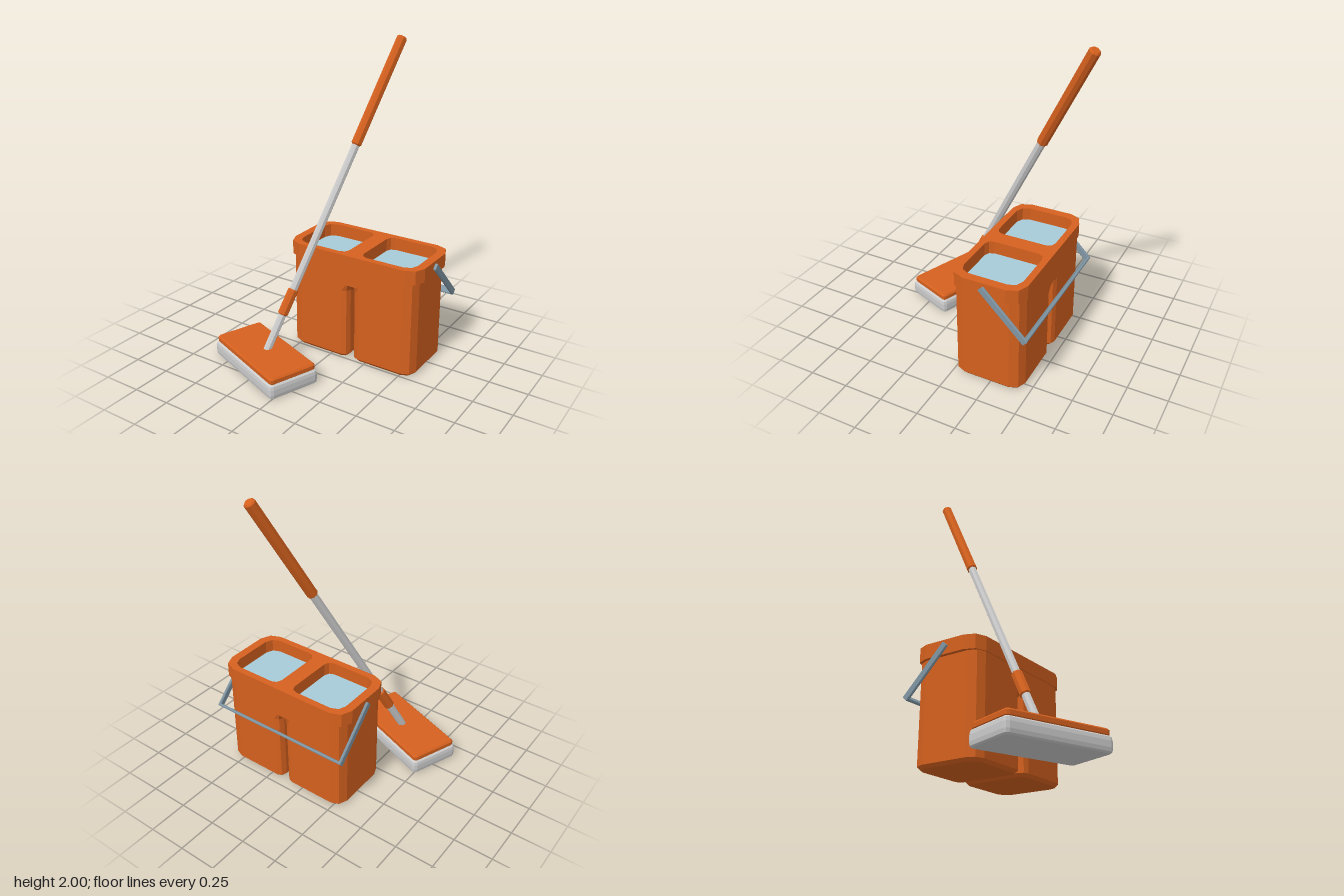
import * as THREE from 'three';

const mat = (color) => new THREE.MeshStandardMaterial({ color, flatShading: true });
const orange = mat(0xd4601e), grey = mat(0xcccccc), steel = mat(0x7e95a2), water = mat(0xa6cbd8);

function add(parent, name, geometry, material) {
  const mesh = new THREE.Mesh(geometry, material);
  mesh.name = name;
  parent.add(mesh);
  return mesh;
}

// Rounded rectangle, counterclockwise from the lower left; two facets per corner.
// Plan coordinates: x right, y towards the back (-z).
function roundRect(x0, x1, y0, y1, [a, b, c, d]) {
  const corners = [[x0 + a, y0 + a, a], [x1 - b, y0 + b, b], [x1 - c, y1 - c, c], [x0 + d, y1 - d, d]];
  return corners.flatMap(([x, y, r], k) => [0, 1, 2].map((i) => {
    const t = Math.PI * (1 + k / 2 + i / 4);
    return new THREE.Vector2(x + r * Math.cos(t), y + r * Math.sin(t));
  }));
}

// Skin through matching plan outlines at given heights, optionally closed below.
function loft(rings, closeBottom) {
  const pos = [];
  const put = (ring, i) => {
    const p = ring.pts[i % ring.pts.length];
    pos.push(p.x, ring.y, -p.y);
  };
  for (let k = 0; k < rings.length - 1; k++) {
    const lo = rings[k], hi = rings[k + 1];
    for (let i = 0; i < lo.pts.length; i++) {
      put(lo, i); put(lo, i + 1); put(hi, i + 1);
      put(lo, i); put(hi, i + 1); put(hi, i);
    }
  }
  if (closeBottom) {
    for (let i = 1; i < rings[0].pts.length - 1; i++) {
      put(rings[0], 0); put(rings[0], i + 1); put(rings[0], i);
    }
  }
  const g = new THREE.BufferGeometry();
  g.setAttribute('position', new THREE.Float32BufferAttribute(pos, 3));
  g.computeVertexNormals();
  return g;
}

function createBucket() {
  const bucket = new THREE.Group();
  bucket.name = 'bucket';
  bucket.position.set(0.1375, 0, -0.2275);
  const turn = (pts) => pts.map((p) => new THREE.Vector2(-p.x, -p.y));

  // Two legs with a chamfered foot
  const leg = roundRect(0.0175, 0.4475, -0.225, 0.225, [0.045, 0.075, 0.075, 0.045]);
  const foot = roundRect(0.0345, 0.4305, -0.208, 0.208, [0.036, 0.066, 0.066, 0.036]);
  for (const [name, f] of [['leftChamber', (p) => p], ['rightChamber', turn]]) {
    add(bucket, name, loft([{ y: 0, pts: f(foot) }, { y: 0.02, pts: f(leg) }, { y: 0.475, pts: f(leg) }], true), orange);
  }

  // Upper body: the waist between the legs fills out to a plain outline
  const waist = [...leg, ...turn(leg)];
  const full = waist.map((p) => (Math.abs(p.x) < 0.07 ? new THREE.Vector2(p.x, Math.sign(p.y) * 0.225) : p));
  add(bucket, 'upperBody', loft([{ y: 0.475, pts: waist }, { y: 0.52, pts: full }, { y: 0.64, pts: full }]), orange);
  const roof = add(bucket, 'slotRoof', new THREE.PlaneGeometry(0.035, 0.36), orange);
  roof.rotation.x = Math.PI / 2;
  roof.position.y = 0.475;

  // Rim with two openings
  const rim = new THREE.Shape(roundRect(-0.4725, 0.4725, -0.2325, 0.2325, [0.095, 0.095, 0.095, 0.095]));
  const hole = roundRect(0.0525, 0.4175, -0.19, 0.19, [0.045, 0.065, 0.065, 0.045]);
  rim.holes.push(new THREE.Path(hole), new THREE.Path(turn(hole)));
  const rimGeo = new THREE.ExtrudeGeometry(rim, { depth: 0.09, bevelEnabled: false });
  rimGeo.rotateX(-Math.PI / 2);
  add(bucket, 'rim', rimGeo, orange).position.y = 0.635;

  // Water surfaces
  for (const pts of [hole, turn(hole)]) {
    const surface = add(bucket, 'water', new THREE.ShapeGeometry(new THREE.Shape(pts)), water);
    surface.rotation.x = -Math.PI / 2;
    surface.position.y = 0.642;
  }

  // Flat U-shaped carrying strap, swung down behind
  const w = 0.49, t = 0.0175, len = 0.4, b = 0.006;
  const u = new THREE.Shape([[-w, 0], [w, 0], [w, len], [w - t, len], [w - t, t], [t - w, t], [t - w, len], [-w, len]]
    .map(([x, y]) => new THREE.Vector2(x, y)));
  const strap = new THREE.ExtrudeGeometry(u, {
    depth: 0.047 - 2 * b, bevelThickness: b, bevelSize: b, bevelOffset: -b, bevelSegments: 1,
  });
  strap.translate(0, -len / 2, -(0.047 - 2 * b) / 2);
  const handle = add(bucket, 'carryHandle', strap, steel);
  handle.position.set(0, 0.553, -0.1275);
  handle.rotation.x = Math.PI / 4;
  return bucket;
}

// Rounded slab whose vertical profile is chamfered by (size, thick)
function slab(w, d, h, r, size, thick, segments) {
  const shape = new THREE.Shape(roundRect(-w / 2, w / 2, -d / 2, d / 2, [r, r, r, r]));
  const g = new THREE.ExtrudeGeometry(shape, {
    depth: h - 2 * thick, bevelSize: size, bevelOffset: -size, bevelThickness: thick, bevelSegments: segments,
  });
  g.rotateX(-Math.PI / 2);
  return g.translate(0, thick, 0);
}

function createMop() {
  const mop = new THREE.Group();
  mop.name = 'mop';

  // Head: soft pad under a plate
  const head = new THREE.Group();
  head.name = 'mopHead';
  head.position.set(-0.2525, 0, 0.372);
  head.rotation.y = -0.366;
  mop.add(head);
  add(head, 'pad', slab(0.685, 0.345, 0.095, 0.025, 0.014, 0.03, 2), grey);
  add(head, 'plate', slab(0.662, 0.322, 0.045, 0.02, 0.01, 0.01, 1), orange).position.y = 0.09;

  // Leaning pole; lengths along it follow from heights
  const pole = new THREE.Group();
  pole.name = 'pole';
  pole.position.set(-0.245, 0.12, 0.36);
  const lean = new THREE.Vector3(0.197, 1, -0.53);
  const k = lean.length();
  pole.quaternion.setFromUnitVectors(new THREE.Vector3(0, 1, 0), lean.normalize());
  mop.add(pole);
  const rod = (name, y0, y1, r, material, c) => {
    const a = (y0 - 0.12) * k, b = (y1 - 0.12) * k;
    const profile = [[0, a], [r - c, a], [r, a + c], [r, b - c], [r - c, b], [0, b]].map(([x, y]) => new THREE.Vector2(x, y));
    add(pole, name, new THREE.LatheGeometry(profile, 8), material);
  };
  rod('shaft', 0.1, 1.4, 0.026, grey, 0.002);
  rod('sleeve', 0.335, 0.487, 0.034, orange, 0.007);
  rod('grip', 1.345, 1.986, 0.034, orange, 0.009);
  return mop;
}

export function createModel() {
  const model = new THREE.Group();
  model.name = 'mopAndBucket';
  model.add(createBucket(), createMop());
  return model;
}
